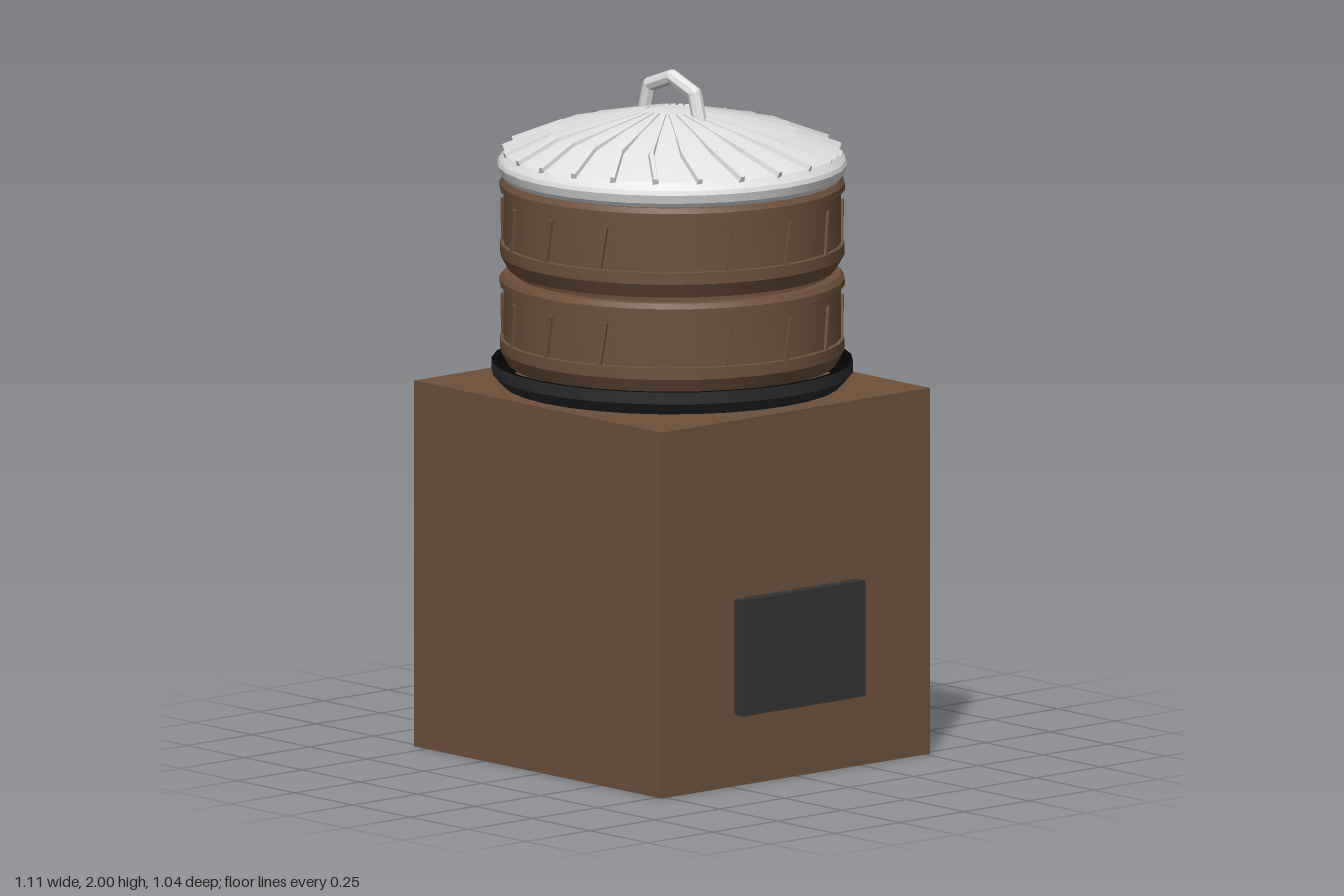
import * as THREE from 'three';
import { toCreasedNormals } from 'three/addons/utils/BufferGeometryUtils.js';

const mat = (name, color) => {
  const m = new THREE.MeshStandardMaterial({ color });
  m.name = name;
  return m;
};

export function createModel() {
  const brown = mat('wood brown', 0x6d503a);
  const darkGrey = mat('dark grey', 0x333333);
  const ringGrey = mat('ring charcoal', 0x2a2b2d);
  const black = mat('black', 0x050505);
  const silver = mat('silver', 0xe2e2e2);

  const add = (parent, name, geometry, material) => {
    const mesh = new THREE.Mesh(geometry, material);
    mesh.name = name;
    parent.add(mesh);
    return mesh;
  };
  const group = (parent, name) => {
    const g = new THREE.Group();
    g.name = name;
    parent.add(g);
    return g;
  };
  // Turned part: profile of [radius, y] running up the outside
  const lathe = (profile) => toCreasedNormals(
    new THREE.LatheGeometry(profile.map(([r, y]) => new THREE.Vector2(r, y)), 32), 0.3);
  // Rib bar between two points, narrower on top, its height kept upright
  const bar = (parent, name, a, b) => {
    const length = a.distanceTo(b) + 0.006;
    const section = new THREE.Shape([[-0.011, -0.014], [0.011, -0.014], [0.006, 0.01], [-0.006, 0.01]]
      .map(([x, y]) => new THREE.Vector2(x, y)));
    const geometry = new THREE.ExtrudeGeometry(section, { depth: length, bevelEnabled: false });
    geometry.translate(0, 0, -length / 2);
    const mesh = new THREE.Mesh(geometry, silver);
    mesh.name = name;
    mesh.position.copy(a).add(b).multiplyScalar(0.5);
    mesh.lookAt(b); // aimed before it gets a parent, so both points are local
    parent.add(mesh);
  };
  const polar = (r, degrees, y) => {
    const t = THREE.MathUtils.degToRad(degrees);
    return new THREE.Vector3(r * Math.cos(t), y, r * Math.sin(t));
  };

  const model = new THREE.Group();
  model.name = 'steamer';

  // Base box with a black underside, and the plate on its side
  add(model, 'baseBox', new THREE.BoxGeometry(1.074, 1.075, 1.036),
    [brown, brown, brown, black, brown, brown]).position.set(-0.018, 0.5375, 0);
  add(model, 'sidePlate', new THREE.BoxGeometry(0.036, 0.34, 0.474), darkGrey)
    .position.set(0.537, 0.38, 0);

  // Everything round shares one axis
  const stack = group(model, 'stack');
  stack.position.x = -0.017;

  // Open ring under the baskets: charcoal outside, black rim and inside
  add(stack, 'ringOuter', lathe([[0.49, 1.08], [0.522, 1.115], [0.522, 1.15]]), ringGrey);
  add(stack, 'ringInner', lathe([
    [0.522, 1.15], [0.508, 1.15], [0.508, 1.115], [0.48, 1.08], [0.49, 1.08],
  ]), black);

  // Two equal baskets with slanted slats
  const addBasket = (name, y) => {
    const basket = group(stack, name);
    basket.position.y = y;
    add(basket, 'wall', lathe([
      [0, 0.03], [0.455, 0.03], [0.455, 0], [0.474, 0], [0.498, 0.042], [0.498, 0.076],
      [0.488, 0.078], [0.488, 0.23], [0.499, 0.232], [0.499, 0.25], [0.488, 0.265],
      [0.455, 0.265], [0.455, 0.045], [0, 0.045],
    ]), brown);
    for (let i = 0; i < 16; i++) {
      const pivot = group(basket, 'slatPivot');
      pivot.rotation.y = (i * 22.5 + 1.5) * Math.PI / 180;
      const slat = add(pivot, 'slat', new THREE.BoxGeometry(0.014, 0.13, 0.018), brown);
      slat.position.set(0, 0.138, 0.486);
      slat.rotation.z = -0.16;
    }
  };
  addBasket('lowerBasket', 1.14);
  addBasket('upperBasket', 1.42);

  // Lid: rim, low dome and flat crown
  const lid = group(stack, 'lid');
  add(lid, 'lidShell', lathe([
    [0, 1.69], [0.488, 1.687], [0.498, 1.7], [0.506, 1.725], [0.502, 1.738], [0.485, 1.76],
    [0.355, 1.812], [0.22, 1.85], [0.08, 1.88], [0, 1.88],
  ]), silver);

  // Swept ribs, each kinked towards the rim
  for (let i = 0; i < 24; i++) {
    const turn = i * 15;
    const inner = polar(0.08, turn + 14, 1.875);
    const kink = polar(0.355, turn + 6.5, 1.814);
    const outer = polar(0.487, turn + 2.3, 1.762);
    bar(lid, 'ribInner', inner, kink);
    bar(lid, 'ribOuter', kink, outer);
  }

  // Faceted handle over the crown
  const handle = group(lid, 'handle');
  const path = [[-0.122, 1.855], [-0.097, 1.943], [0, 1.979], [0.097, 1.943], [0.122, 1.855]]
    .map(([x, y]) => new THREE.Vector3(x, y, 0));
  const up = new THREE.Vector3(0, 1, 0);
  for (let i = 0; i < path.length - 1; i++) {
    const dir = path[i + 1].clone().sub(path[i]);
    const geometry = new THREE.CylinderGeometry(0.021, 0.021, dir.length(), 8);
    const rod = add(handle, 'handleRod', toCreasedNormals(geometry, 0.3), silver);
    rod.position.copy(path[i]).addScaledVector(dir, 0.5);
    rod.quaternion.setFromUnitVectors(up, dir.normalize());
  }
  path.slice(1, 4).forEach((p) => {
    add(handle, 'handleJoint', new THREE.SphereGeometry(0.021, 10, 8), silver).position.copy(p);
  });

  return model;
}
